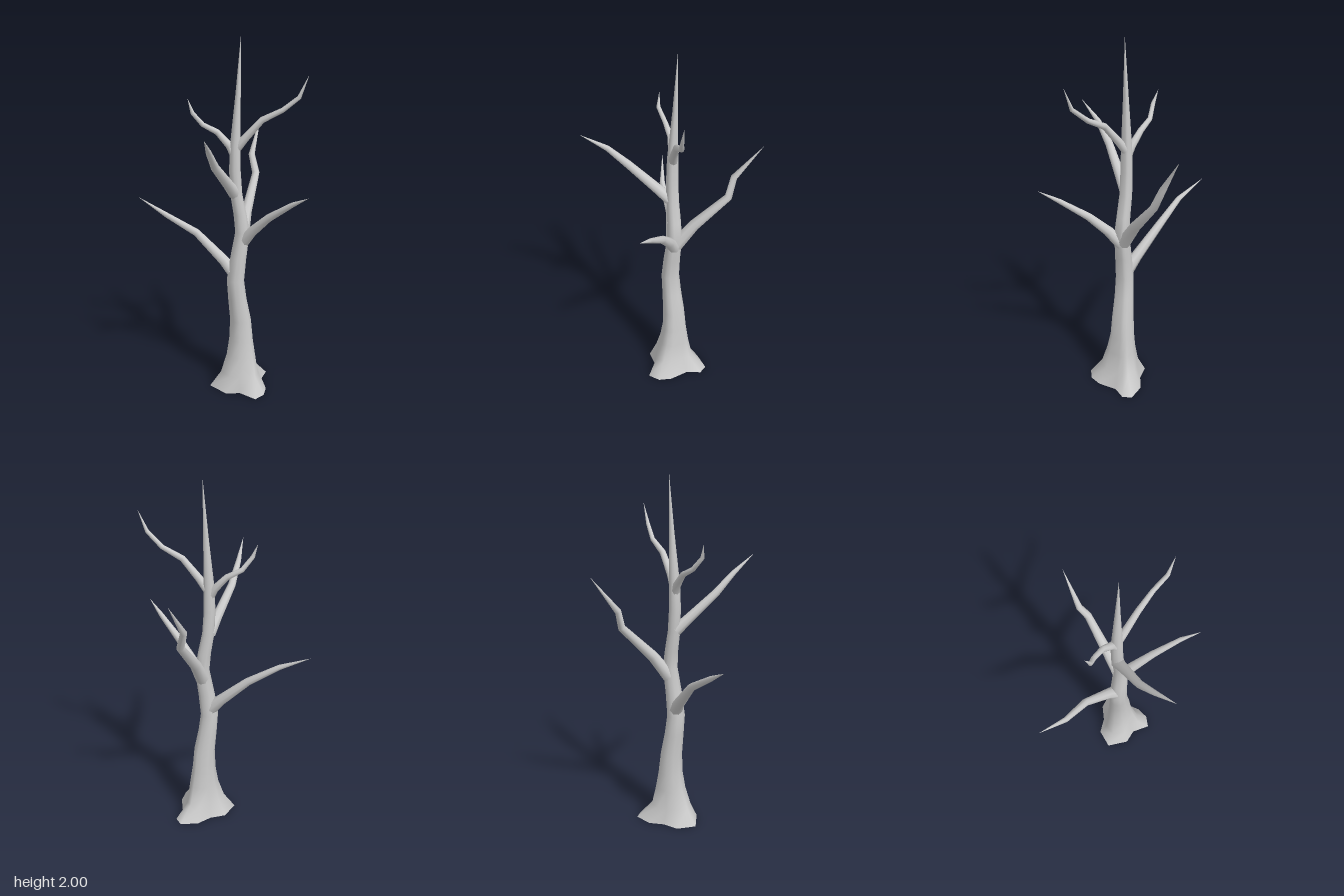
import * as THREE from 'three';

const V = (x, y, z) => new THREE.Vector3(x, y, z);

// Skin a list of equal-length rings (clockwise seen from the tip).
function loft(rings) {
  const n = rings[0].length, pos = [], idx = [];
  rings.forEach(r => r.forEach(p => pos.push(p.x, p.y, p.z)));
  for (let j = 0; j < rings.length - 1; j++) {
    for (let i = 0; i < n; i++) {
      const k = (i + 1) % n;
      const a = j * n + i, b = j * n + k, c = a + n, d = b + n;
      idx.push(a, c, b, b, c, d);
    }
  }
  const g = new THREE.BufferGeometry();
  g.setAttribute('position', new THREE.Float32BufferAttribute(pos, 3));
  g.setIndex(idx);
  g.computeVertexNormals();
  return g;
}

// Trunk: root outline on the ground fades into a round, bending stem.
function trunkGeometry() {
  const outline = [[-0.07, 0], [0, -0.085], [0.09, -0.095], [0.17, -0.135], [0.27, -0.125], [0.29, -0.075],
    [0.245, -0.01], [0.24, 0.1], [0.21, 0.165], [0.15, 0.2], [0.08, 0.12], [0, 0.105]];
  // y, centre x, centre z, round radius, share of the root outline
  const levels = [[0, 0.12, 0.02, 0, 1], [0.09, 0.112, 0.018, 0.05, 0.36], [0.2, 0.117, 0.01, 0.06, 0.15],
    [0.3, 0.115, 0.005, 0.06, 0.06], [0.42, 0.11, 0.005, 0.06, 0.01], [0.55, 0.09, 0.006, 0.054, 0],
    [0.67, 0.077, 0.008, 0.05, 0], [0.8, 0.092, 0.008, 0.046, 0], [0.95, 0.115, 0.006, 0.041, 0],
    [1.05, 0.102, 0.002, 0.037, 0], [1.17, 0.08, -0.002, 0.034, 0], [1.3, 0.072, -0.003, 0.032, 0],
    [1.43, 0.073, -0.004, 0.029, 0], [1.7, 0.087, -0.008, 0.0145, 0], [2, 0.1, -0.01, 0.0003, 0]];
  return loft(levels.map(([y, cx, cz, r, f]) => outline.map(([x, z]) => {
    const d = V(x - 0.12, 0, z - 0.02);
    const len = d.length();
    return d.normalize().multiplyScalar(r + f * len).add(V(cx, y, cz));
  })));
}

// Branch: tapered crooked limb; each point is x, y, z, radius.
function branchGeometry(points, sides = 8) {
  const p = points.map(a => V(a[0], a[1], a[2])), last = p.length - 1;
  const side = p[last].clone().sub(p[0]).cross(V(0, 1, 0)).normalize();
  return loft(p.map((c, j) => {
    const t = p[Math.min(j + 1, last)].clone().sub(c).normalize();
    if (j > 0) t.add(c.clone().sub(p[j - 1]).normalize());
    t.normalize();
    const u = side.clone().addScaledVector(t, -side.dot(t)).normalize();
    const v = t.clone().cross(u);
    return Array.from({ length: sides }, (_, i) => {
      const a = i / sides * Math.PI * 2, r = points[j][3];
      return c.clone().addScaledVector(u, Math.cos(a) * r).addScaledVector(v, -Math.sin(a) * r);
    });
  }));
}

const TIP = 0.0004;
const BRANCHES = {
  lowerRightBranch: [[0.075, 0.7, 0.0, 0.04], [0.02, 0.77, -0.035, 0.031], [-0.12, 0.92, -0.112, 0.022],
    [-0.28, 1.02, -0.16, 0.015], [-0.42, 1.105, -0.247, TIP]],
  backLeftBranch: [[0.115, 0.9, -0.005, 0.038], [0.16, 1.03, -0.09, 0.03], [0.25, 1.21, -0.235, 0.021],
    [0.235, 1.31, -0.275, 0.018], [0.315, 1.5, -0.387, TIP]],
  frontLeftBranch: [[0.115, 0.89, 0.01, 0.036], [0.155, 0.97, 0.065, 0.028], [0.22, 1.07, 0.15, 0.021],
    [0.31, 1.175, 0.27, 0.013], [0.362, 1.233, 0.36, TIP]],
  frontRightBranch: [[0.07, 1.17, 0.0, 0.034], [0.02, 1.24, 0.06, 0.028], [-0.075, 1.37, 0.17, 0.022],
    [-0.125, 1.47, 0.26, 0.015], [-0.172, 1.56, 0.382, TIP]],
  upperLeftBranch: [[0.075, 1.41, -0.005, 0.025], [0.12, 1.475, 0.02, 0.021], [0.2, 1.575, 0.055, 0.017],
    [0.3, 1.63, 0.092, 0.013], [0.37, 1.7, 0.138, 0.011], [0.412, 1.81, 0.153, TIP]],
  upperRightBranch: [[0.07, 1.38, -0.005, 0.025], [0.045, 1.43, -0.02, 0.021], [-0.015, 1.5, -0.045, 0.016],
    [-0.09, 1.54, -0.061, 0.013], [-0.145, 1.605, -0.054, 0.011], [-0.166, 1.675, -0.073, TIP]],
};

export function createModel() {
  const bark = new THREE.MeshStandardMaterial({ color: 0xcccccc, side: THREE.DoubleSide });
  bark.name = 'bark grey';
  const tree = new THREE.Group();
  tree.name = 'bareTree';
  const add = (name, geometry) => {
    const mesh = new THREE.Mesh(geometry, bark);
    mesh.name = name;
    tree.add(mesh);
  };
  add('trunk', trunkGeometry());
  for (const [name, points] of Object.entries(BRANCHES)) add(name, branchGeometry(points));
  return tree;
}
